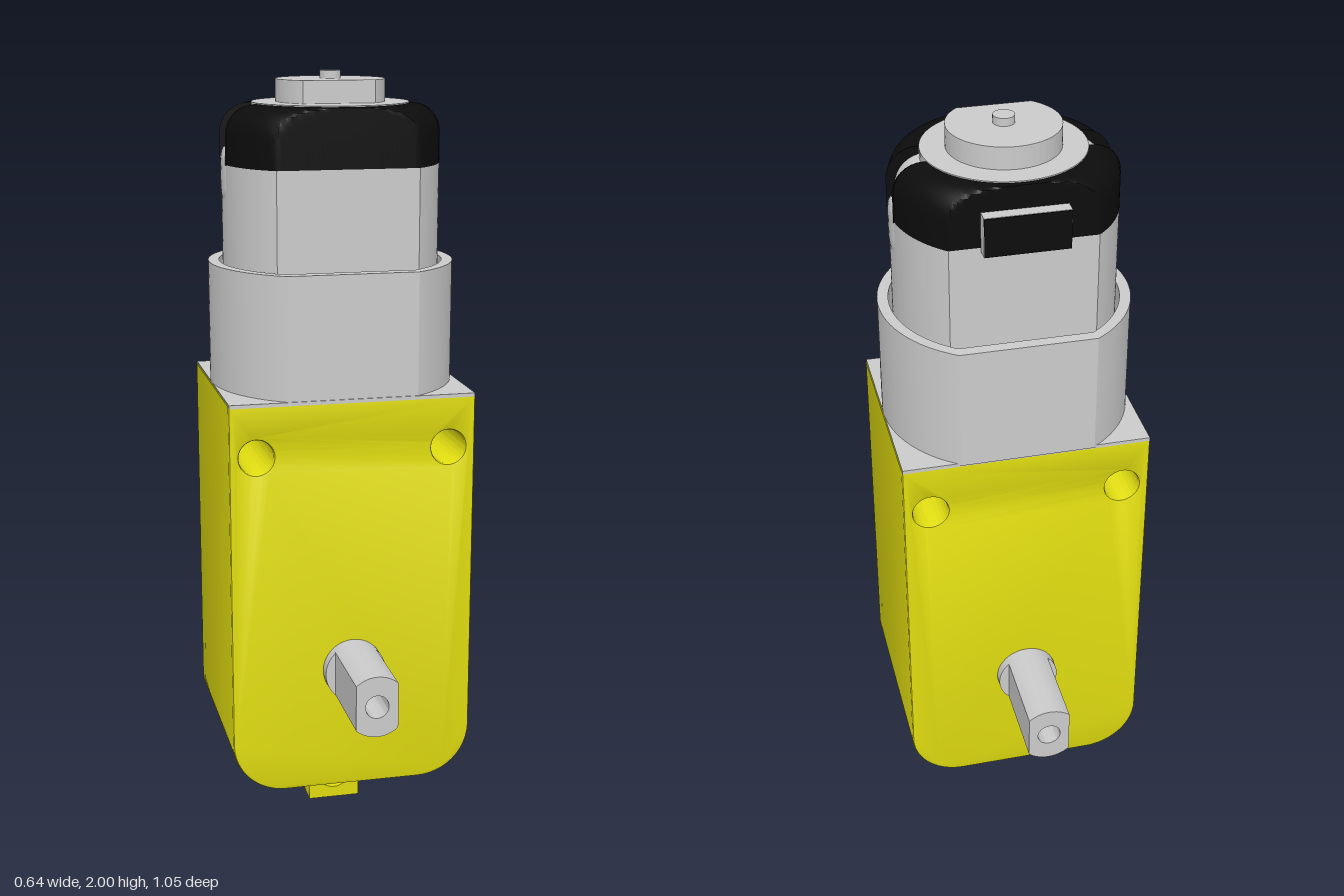
import * as THREE from 'three';
import { toCreasedNormals } from 'three/addons/utils/BufferGeometryUtils.js';

const grey = new THREE.MeshStandardMaterial({ color: 0xcccccc });
const yellow = new THREE.MeshStandardMaterial({ color: 0xe0dc10 });
const black = new THREE.MeshStandardMaterial({ color: 0x0c0c0c, side: THREE.DoubleSide });
const AXIS_Z = -0.008; // motor axis

export function createModel() {
  const model = new THREE.Group();

  const add = (name, geometry, material, x = 0, y = 0, z = 0) => {
    const mesh = new THREE.Mesh(toCreasedNormals(geometry, 0.5), material);
    mesh.name = name;
    mesh.position.set(x, y, z);
    model.add(mesh);
    return mesh;
  };
  const circle = (x, y, r) => new THREE.Path().absarc(x, y, r, 0, Math.PI * 2, true);
  const extrude = (shape, depth, options = {}) =>
    new THREE.ExtrudeGeometry(shape, { depth, bevelEnabled: false, curveSegments: 24, ...options });

  // Circle with flats at v = low and v = high
  const flatted = (r, low, high, Type = THREE.Shape) => {
    const path = new Type();
    const a = Math.asin(Math.max(-1, low / r)), b = Math.asin(Math.min(1, high / r));
    path.absarc(0, 0, r, a, b, false);
    path.absarc(0, 0, r, Math.PI - b, Math.PI - a, false);
    path.closePath();
    return path;
  };
  // Upright prism whose shape is drawn in x and -z
  const upright = (name, shape, y0, y1, z = AXIS_Z) =>
    add(name, extrude(shape, y1 - y0).rotateX(-Math.PI / 2), grey, 0, y0, z);

  // Gearbox housing with rounded bottom corners and two mounting holes
  const w = 0.32, y0 = 0.15, y1 = 1.2, r = 0.14;
  const housing = new THREE.Shape();
  housing.moveTo(w, y1);
  housing.lineTo(-w, y1);
  housing.lineTo(-w, y0 + r);
  housing.absarc(-w + r, y0 + r, r, Math.PI, Math.PI * 1.5, false);
  housing.absarc(w - r, y0 + r, r, Math.PI * 1.5, Math.PI * 2, false);
  housing.closePath();
  for (const x of [-0.25, 0.25]) housing.holes.push(circle(x, 1.065, 0.045));
  add('gearboxHousing', extrude(housing, 0.522, {
    bevelEnabled: true, bevelThickness: 0.008, bevelSize: 0.008, bevelOffset: -0.008, bevelSegments: 2,
  }), yellow, 0, 0, -0.264);
  add('housingTopPlate', new THREE.BoxGeometry(0.636, 0.01, 0.536), grey, 0, 1.199, -0.003);

  // Mounting tab below the housing
  const tab = new THREE.Shape([[-0.07, 0], [0.07, 0], [0.07, 0.17], [-0.07, 0.17]]
    .map(([x, y]) => new THREE.Vector2(x, y)));
  tab.holes.push(circle(0, 0.075, 0.045));
  add('mountingTab', extrude(tab, 0.07), yellow, 0, 0, -0.03);

  // Output shaft: round collar, then two flats and a bored end on each side
  const flatShaft = flatted(0.08, -0.054, 0.054);
  flatShaft.holes.push(circle(0, 0, 0.03));
  for (const side of [1, -1]) {
    add('shaftCollar', new THREE.CylinderGeometry(0.08, 0.08, 0.06, 40).rotateX(Math.PI / 2),
      grey, 0, 0.48, side * 0.268);
    add('outputShaft', extrude(flatShaft, 0.235).rotateZ(Math.PI / 2), grey,
      0, 0.48, side > 0 ? 0.29 : -0.525);
  }

  // Motor socket: open collar around the motor
  const socket = flatted(0.318, -0.27, 0.268);
  socket.holes.push(flatted(0.29, -0.237, 0.237, THREE.Path));
  upright('motorSocket', socket, y1, 1.52);

  // Motor can with front and back flats
  upright('motorCan', flatted(0.28, -0.213, 0.213), y1, 1.77);

  // End cap: rounded ring cut by the flats and split by a groove on each side
  const capProfile = (inset) => {
    const ro = 0.28 - inset, top = 1.92 - inset, round = 0.075;
    const points = [new THREE.Vector2(0.19, 1.77), new THREE.Vector2(ro, 1.77)];
    for (let i = 0; i <= 8; i++) {
      const a = (i / 8) * Math.PI / 2;
      points.push(new THREE.Vector2(ro - round + round * Math.cos(a), top - round + round * Math.sin(a)));
    }
    points.push(new THREE.Vector2(0.19, top), new THREE.Vector2(0.19, 1.77));
    return points;
  };
  const clampZ = (geometry, low, high) => {
    const p = geometry.attributes.position;
    for (let i = 0; i < p.count; i++) p.setZ(i, Math.min(high, Math.max(low, p.getZ(i))));
    return geometry;
  };
  const profile = capProfile(0);
  for (const turn of [0, Math.PI]) {
    const half = clampZ(new THREE.LatheGeometry(profile, 64, -Math.PI / 2, Math.PI), 0.043, 0.213);
    add('endCapHalf', half.rotateY(turn), black, 0, 0, AXIS_Z);
    for (const side of [0, Math.PI]) {
      const wall = new THREE.ShapeGeometry(new THREE.Shape(profile)).rotateY(side);
      add('endCapGrooveWall', wall.translate(0, 0, 0.043).rotateY(turn), black, 0, 0, AXIS_Z);
    }
  }
  // Grey core showing in the grooves
  add('capCore', clampZ(new THREE.LatheGeometry(capProfile(0.018), 96), -0.195, 0.195), grey, 0, 0, AXIS_Z);
  for (const side of [1, -1]) {
    const clip = new THREE.CapsuleGeometry(0.042, 0.06, 6, 20).scale(0.25, 1, 1);
    add('sideClip', clip, grey, side * 0.273, 1.742, AXIS_Z);
  }

  // Top disc, bearing boss with a flat, and shaft tip
  add('topDisc', new THREE.CylinderGeometry(0.202, 0.202, 0.152, 64), grey, 0, 1.847, AXIS_Z);
  upright('bearingBoss', flatted(0.14, -0.105, 0.14), 1.92, 1.98);
  add('motorShaftTip', new THREE.CylinderGeometry(0.027, 0.027, 0.03, 32), grey, 0, 1.985, AXIS_Z);

  // Terminal block on the back of the cap
  add('terminalBlock', new THREE.BoxGeometry(0.21, 0.1, 0.035), grey, 0, 1.81, -0.236);
  add('terminalFace', new THREE.BoxGeometry(0.208, 0.098, 0.006), black, 0, 1.81, -0.253);

  return model;
}
